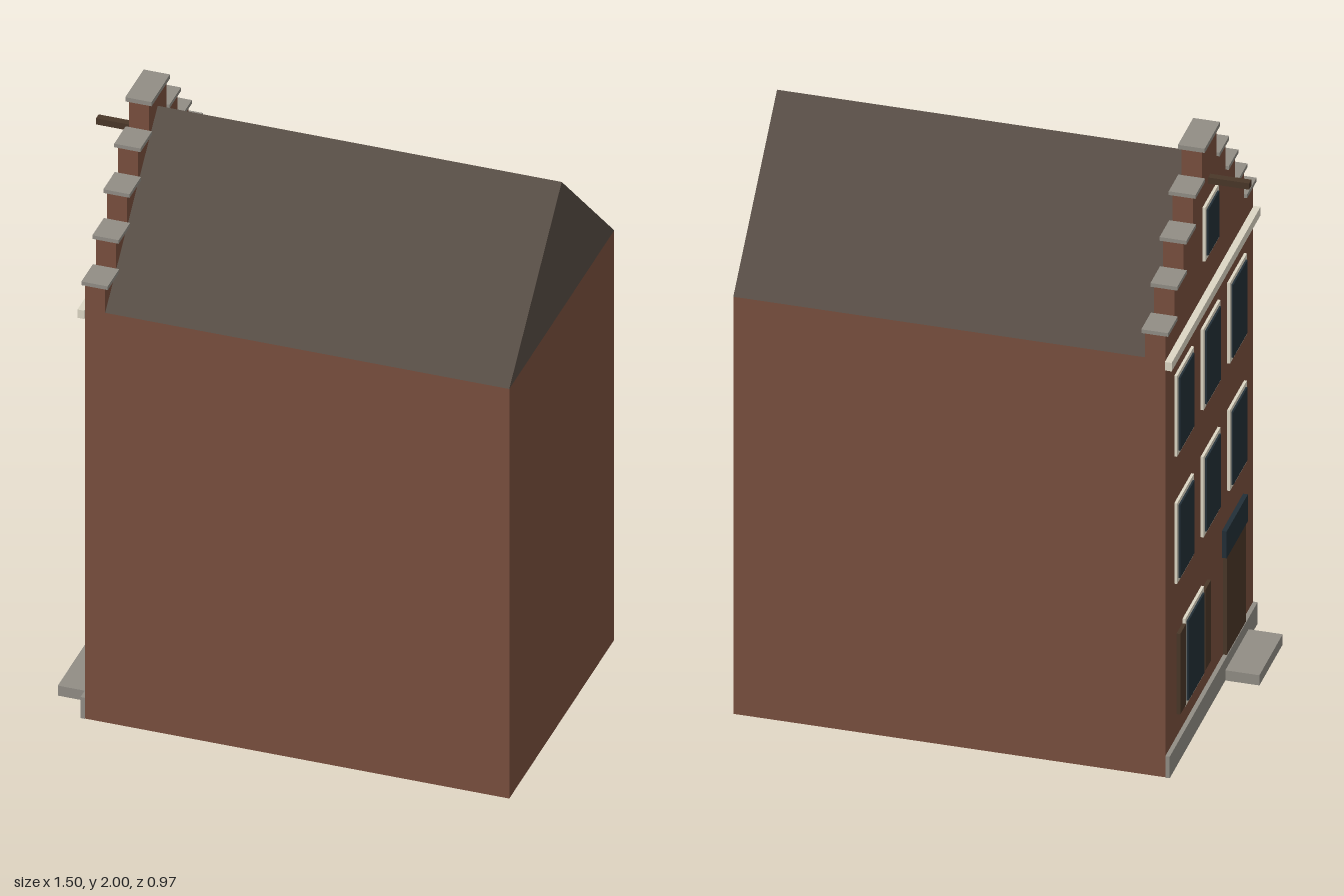
import * as THREE from 'three';

const mat = (name, color) => {
  const m = new THREE.MeshStandardMaterial({ color });
  m.name = name;
  return m;
};

export function createModel() {
  const house = new THREE.Group();
  house.name = 'gabledHouse';
  const brick = mat('brick', 0x794f3e);
  const slate = mat('roofSlate', 0x564c44);
  const stone = mat('stone', 0x918d85);
  const cream = mat('creamPaint', 0xdcd6c4);
  const glass = mat('darkGlass', 0x222f37);
  const timber = mat('darkTimber', 0x4a3728);

  // Box given by its extents along each axis
  const box = (name, material, x0, x1, y0, y1, z0, z1) => {
    const mesh = new THREE.Mesh(new THREE.BoxGeometry(x1 - x0, y1 - y0, z1 - z0), material);
    mesh.position.set((x0 + x1) / 2, (y0 + y1) / 2, (z0 + z1) / 2);
    mesh.name = name;
    house.add(mesh);
    return mesh;
  };

  const wall = -0.62; // street face, looking towards -x
  const eaves = 1.475;
  const half = 0.48;

  box('walls', brick, wall, 0.75, 0, eaves, -half, half);

  // Roof prism running behind the stepped gable
  const tri = new THREE.Shape();
  tri.moveTo(-half, eaves);
  tri.lineTo(half, eaves);
  tri.lineTo(0, 1.935);
  const roof = new THREE.Mesh(
    new THREE.ExtrudeGeometry(tri, { depth: 1.305, bevelEnabled: false }), slate);
  roof.rotation.y = Math.PI / 2;
  roof.position.x = -0.555;
  roof.name = 'roof';
  house.add(roof);

  // Stepped gable with stone caps
  const tops = [1.562, 1.669, 1.775, 1.88, 1.985];
  tops.forEach((top, i) => {
    const w = half - i * 0.1;
    const base = i ? tops[i - 1] : eaves;
    box('gableStep', brick, wall, -0.555, base, top, -w, w);
    if (i === tops.length - 1) {
      box('gableCap', stone, -0.63, -0.545, top, top + 0.015, -w - 0.004, w + 0.004);
    } else {
      for (const s of [-1, 1]) {
        const a = s * (w - 0.1), b = s * (w + 0.005);
        box('gableCap', stone, -0.63, -0.545, top, top + 0.013, Math.min(a, b), Math.max(a, b));
      }
    }
  });

  // Cornice, plinth, doorstep and hoist beam
  box('cornice', cream, -0.642, wall, 1.443, 1.473, -0.487, 0.487);
  box('plinth', stone, -0.634, wall, 0, 0.076, -0.482, 0.482);
  box('doorstep', stone, -0.742, wall, 0, 0.036, 0.128, 0.384);
  box('hoistBeam', timber, -0.75, wall, 1.834, 1.856, -0.012, 0.012);

  // Framed window centred on z
  const windowAt = (z, y0, y1, w) => {
    const b = 0.014;
    box('windowFrame', cream, -0.629, wall, y0, y1, z - w / 2, z + w / 2);
    box('windowGlass', glass, -0.635, -0.629, y0 + b, y1 - b, z - w / 2 + b, z + w / 2 - b);
  };
  for (const y of [0.63, 1.08])
    for (const z of [-0.29, 0, 0.29]) windowAt(z, y, y + 0.285, 0.186);
  windowAt(0, 1.595, 1.785, 0.148);
  windowAt(-0.19, 0.145, 0.455, 0.205);

  // Shutters beside the ground floor window
  for (const s of [-1, 1]) {
    const z = -0.19 + s * 0.137;
    box('shutter', timber, -0.632, wall, 0.155, 0.44, z - 0.032, z + 0.032);
  }

  // Door with a glazed light above
  box('door', timber, -0.632, wall, 0.036, 0.425, 0.152, 0.36);
  box('doorLight', glass, -0.635, wall, 0.425, 0.52, 0.14, 0.372);

  return house;
}
